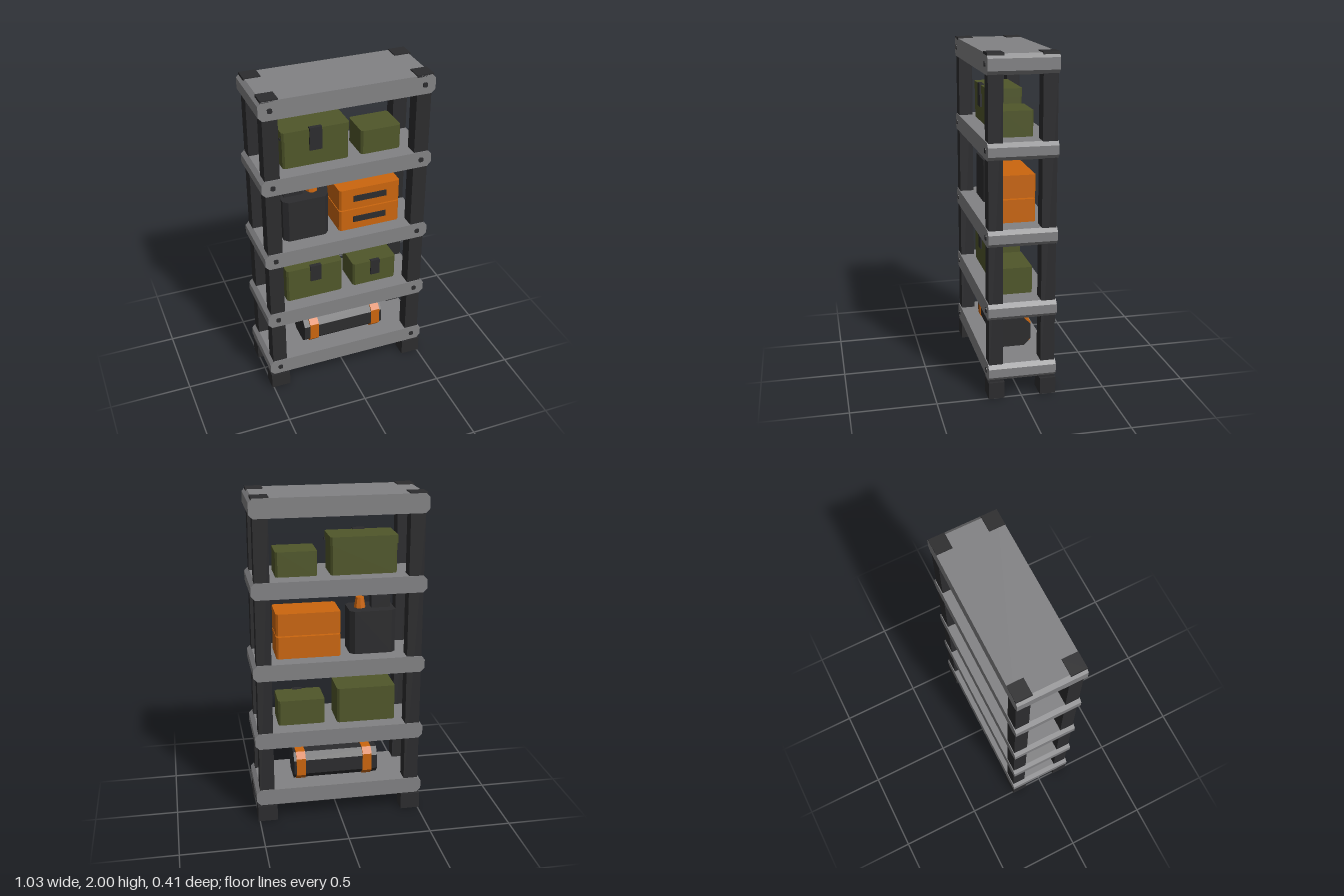
import * as THREE from 'three';

const mat = (name, color) => {
  const m = new THREE.MeshStandardMaterial({ color });
  m.name = name;
  return m;
};

export function createModel() {
  const root = new THREE.Group();
  root.name = 'storageShelf';
  const grey = mat('shelf grey', 0x828284);
  const dark = mat('charcoal', 0x2c2c2e);
  const olive = mat('olive', 0x50572a);
  const orange = mat('orange', 0xcb660e);
  const ZC = -0.003; // rack centre, bolts stick out at the front

  const add = (name, geo, material, parent = root) => {
    const mesh = new THREE.Mesh(geo, material);
    mesh.name = name;
    parent.add(mesh);
    return mesh;
  };

  // Box given by its extents
  const box = (name, material, x0, x1, y0, y1, z0, z1, parent) => {
    const mesh = add(name, new THREE.BoxGeometry(x1 - x0, y1 - y0, z1 - z0), material, parent);
    mesh.position.set((x0 + x1) / 2, (y0 + y1) / 2, (z0 + z1) / 2);
    return mesh;
  };

  // Rectangle with cut corners, extruded along z and centred
  const cutPrism = (w, h, depth, c) => {
    const a = w / 2, b = h / 2;
    const pts = [[-a + c, -b], [a - c, -b], [a, -b + c], [a, b - c],
      [a - c, b], [-a + c, b], [-a, b - c], [-a, -b + c]];
    const shape = new THREE.Shape(pts.map(p => new THREE.Vector2(...p)));
    return new THREE.ExtrudeGeometry(shape, { depth, bevelEnabled: false }).translate(0, 0, -depth / 2);
  };

  // Upright box with cut vertical edges
  const crate = (name, material, x0, x1, y0, y1, z0, z1, c = 0.012, parent = root) => {
    const mesh = add(name, cutPrism(x1 - x0, z1 - z0, y1 - y0, c).rotateX(-Math.PI / 2), material, parent);
    mesh.position.set((x0 + x1) / 2, (y0 + y1) / 2, (z0 + z1) / 2);
    return mesh;
  };

  // Shelf boards with front bolts
  const levels = [[0.11, 0.21], [0.485, 0.585], [0.92, 1.02], [1.415, 1.515], [1.88, 1.994]];
  levels.forEach(([y0, y1], i) => {
    const level = new THREE.Group();
    level.name = `shelf${i + 1}`;
    root.add(level);
    const board = add('board', cutPrism(1.03, y1 - y0, 0.4, 0.024), grey, level);
    board.position.set(0, (y0 + y1) / 2, ZC);
    for (const s of [-1, 1]) {
      const bolt = add('bolt', cutPrism(0.028, 0.028, 0.02, 0.006), dark, level);
      bolt.position.set(s * 0.45, (y0 + y1) / 2, 0.193);
    }
  });

  // Corner posts, feet and top caps
  for (const sx of [-1, 1]) for (const sz of [-1, 1]) {
    const corner = new THREE.Group();
    corner.name = 'corner';
    corner.position.set(sx * 0.45, 0, ZC + sz * 0.153);
    root.add(corner);
    box('post', dark, -0.044, 0.044, 0.09, 1.9, -0.042, 0.042, corner);
    box('foot', dark, -0.06, 0.06, 0, 0.1, -0.047, 0.047, corner);
    box('cap', dark, -0.05, 0.05, 1.985, 2, -0.047, 0.047, corner);
  }

  // Bottom shelf: padded roll with two straps
  const roll = add('roll', cutPrism(0.222, 0.174, 0.525, 0.042).rotateY(Math.PI / 2), dark);
  roll.position.set(0.008, 0.299, 0);
  for (const x of [-0.19, 0.227]) {
    const strap = add('strap', cutPrism(0.228, 0.182, 0.057, 0.036).rotateY(Math.PI / 2), orange);
    strap.position.set(x, 0.301, 0);
  }

  // Second shelf: two latched boxes
  crate('largeBox', olive, -0.36, 0, 0.585, 0.805, -0.11, 0.106);
  box('largeBoxLatch', dark, -0.21, -0.14, 0.705, 0.813, 0.09, 0.115);
  crate('smallBox', olive, 0.075, 0.36, 0.585, 0.743, -0.096, 0.1);
  box('smallBoxLatch', dark, 0.19, 0.25, 0.645, 0.748, 0.085, 0.109);

  // Third shelf: canister with cap and knob
  crate('canister', dark, -0.36, -0.08, 1.02, 1.285, -0.1, 0.1, 0.028);
  box('canisterCap', dark, -0.337, -0.222, 1.28, 1.357, -0.03, 0.03);
  const knob = add('canisterKnob', new THREE.CylinderGeometry(0.025, 0.036, 0.065, 8).toNonIndexed(), orange);
  knob.geometry.computeVertexNormals();
  knob.position.set(-0.156, 1.316, 0);

  // Third shelf: two stacked drawers
  for (const [y0, y1] of [[1.02, 1.155], [1.163, 1.297]]) {
    crate('drawer', orange, -0.02, 0.365, y0, y1, -0.11, 0.106);
    const y = (y0 + y1) / 2;
    box('drawerHandle', dark, 0.068, 0.277, y - 0.018, y + 0.02, 0.1, 0.112);
  }

  // Fourth shelf: lidded chest and plain box
  crate('chestBody', olive, -0.357, 0.037, 1.515, 1.69, -0.105, 0.102);
  crate('chestLid', olive, -0.361, 0.041, 1.69, 1.74, -0.109, 0.106);
  box('chestHinge', dark, -0.367, 0.047, 1.688, 1.702, 0.07, 0.085);
  box('chestLatch', dark, -0.2, -0.127, 1.61, 1.749, 0.09, 0.115);
  crate('plainBox', olive, 0.115, 0.36, 1.515, 1.663, -0.096, 0.1);

  return root;
}
